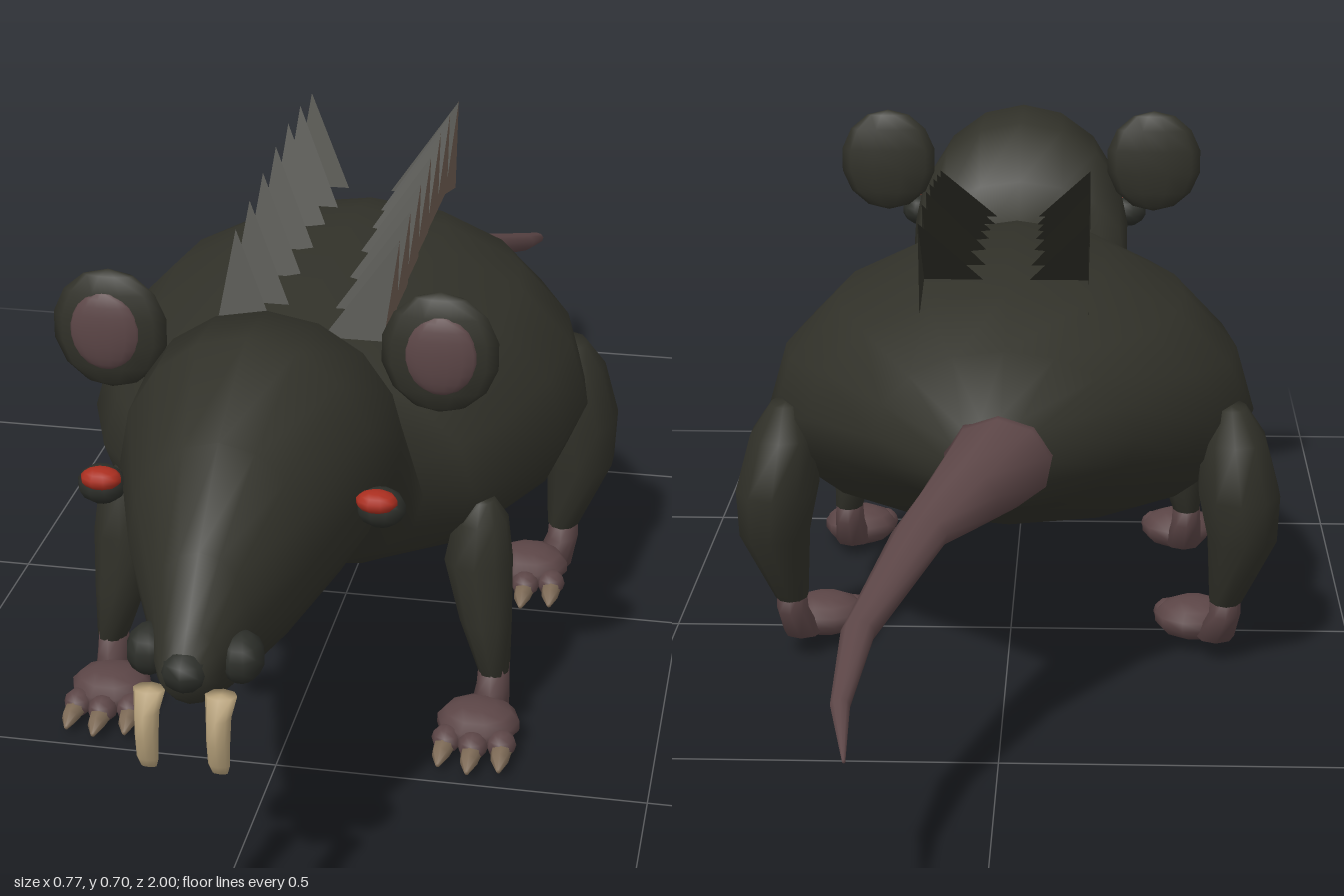
import * as THREE from 'three';

const mat = (name, color, side = THREE.FrontSide) => {
  const m = new THREE.MeshStandardMaterial({ color, side });
  m.name = name;
  return m;
};

// Skin over rings [x, y, z, rx, r2, lower r2]; upright rings run front to back, flat rings top to bottom.
function loft(rings, seg, flat = false) {
  const pos = [], idx = [], n = rings.length;
  for (const [x, y, z, rx, r2, low = r2] of rings) {
    for (let i = 0; i < seg; i++) {
      const a = (i / seg) * Math.PI * 2 + Math.PI / 2;
      const u = Math.cos(a) * rx, v = Math.sin(a) * (Math.sin(a) < 0 ? low : r2);
      if (flat) pos.push(x + u, y, z - v);
      else pos.push(x + u, y + v, z);
    }
  }
  for (let k = 0; k < n - 1; k++) {
    for (let i = 0; i < seg; i++) {
      const j = (i + 1) % seg;
      const a = k * seg + i, b = k * seg + j, c = a + seg, d = b + seg;
      idx.push(a, c, b, b, c, d);
    }
  }
  // end caps
  pos.push(...rings[0].slice(0, 3), ...rings[n - 1].slice(0, 3));
  for (let i = 0; i < seg; i++) {
    const j = (i + 1) % seg, last = (n - 1) * seg;
    idx.push(n * seg, i, j, n * seg + 1, last + j, last + i);
  }
  const g = new THREE.BufferGeometry();
  g.setAttribute('position', new THREE.Float32BufferAttribute(pos, 3));
  g.setIndex(idx);
  g.computeVertexNormals();
  return g;
}

function triangle(...corners) {
  const g = new THREE.BufferGeometry();
  g.setAttribute('position', new THREE.Float32BufferAttribute(corners.flat(), 3));
  g.computeVertexNormals();
  return g;
}

export function createModel() {
  const fur = mat('dark fur', 0x313129);
  const furThin = mat('dark spine', 0x313129, THREE.DoubleSide);
  const skin = mat('pink skin', 0x5b4546);
  const noseMat = mat('nose', 0x2c2e29);
  const red = mat('red eye', 0xaa2e1f);
  const ivory = mat('ivory teeth', 0xb5a07a);
  const claw = mat('claw', 0x7d6a56);
  const bone = mat('brown spine', 0x6d5c50);

  const model = new THREE.Group();
  const add = (name, geo, material, parent = model) => {
    const m = new THREE.Mesh(geo, material);
    m.name = name;
    parent.add(m);
    return m;
  };
  const ball = (name, p, r, material, seg = 10, parent = model) => {
    const m = add(name, new THREE.SphereGeometry(1, seg, Math.max(6, seg - 3)), material, parent);
    m.position.set(...p);
    m.scale.set(...r);
    return m;
  };

  // Head and body: z, top, bottom, half width, height of the widest line
  const profile = [
    [0.975, 0.43, 0.375, 0.028, 0.5], [0.95, 0.455, 0.355, 0.04, 0.5], [0.89, 0.52, 0.33, 0.062, 0.5],
    [0.785, 0.61, 0.325, 0.113, 0.5], [0.635, 0.68, 0.325, 0.163, 0.5], [0.52, 0.67, 0.345, 0.172, 0.5],
    [0.465, 0.585, 0.34, 0.172, 0.5], [0.425, 0.505, 0.27, 0.185, 0.48], [0.36, 0.53, 0.235, 0.24, 0.45],
    [0.29, 0.56, 0.208, 0.285, 0.42], [0.14, 0.582, 0.184, 0.338, 0.41], [0, 0.591, 0.182, 0.354, 0.4],
    [-0.1, 0.586, 0.198, 0.337, 0.4], [-0.2, 0.565, 0.25, 0.28, 0.42], [-0.3, 0.51, 0.29, 0.18, 0.45],
    [-0.4, 0.45, 0.32, 0.07, 0.5],
  ];
  add('body', loft(profile.map(([z, t, b, w, f]) => {
    const h = t - b;
    return [0, b + f * h, z, w, (1 - f) * h, f * h];
  }), 16), fur);

  // Tail curving to one side
  add('tail', loft([
    [0, 0.385, -0.38, 0.078, 0.068], [0.005, 0.385, -0.41, 0.07, 0.063],
    [0.05, 0.365, -0.5, 0.052, 0.042], [0.095, 0.348, -0.59, 0.036, 0.022],
    [0.157, 0.29, -0.78, 0.021, 0.016], [0.167, 0.25, -0.91, 0.012, 0.01],
    [0.155, 0.22, -1, 0.002, 0.002],
  ], 9), skin);

  ball('nose', [0, 0.408, 0.965], [0.03, 0.026, 0.028], noseMat, 8);

  for (const s of [1, -1]) {
    const side = s > 0 ? 'left' : 'right';

    // Ears
    ball(side + 'Ear', [s * 0.213, 0.616, 0.485], [0.076, 0.081, 0.022], fur, 10);
    ball(side + 'InnerEar', [s * 0.216, 0.617, 0.498], [0.047, 0.053, 0.015], skin, 14);

    // Eyes in dark lids
    ball(side + 'EyeLid', [s * 0.174, 0.492, 0.68], [0.031, 0.025, 0.026], noseMat);
    ball(side + 'Eye', [s * 0.171, 0.506, 0.694], [0.026, 0.014, 0.02], red);

    // Muzzle pads and curved front teeth
    ball(side + 'MuzzlePad', [s * 0.055, 0.404, 0.916], [0.027, 0.031, 0.033], noseMat);
    add(side + 'Tooth', loft([
      [s * 0.042, 0.382, 0.968, 0.019, 0.014], [s * 0.042, 0.362, 0.982, 0.015, 0.018],
      [s * 0.042, 0.33, 0.986, 0.014, 0.014], [s * 0.042, 0.3, 0.984, 0.013, 0.008],
      [s * 0.042, 0.286, 0.98, 0.009, 0.003],
    ], 8, true), ivory);

    // Legs
    add(side + 'FrontLeg', loft([
      [s * 0.247, 0.338, 0.32, 0.018, 0.022], [s * 0.247, 0.31, 0.32, 0.037, 0.041],
      [s * 0.245, 0.25, 0.323, 0.047, 0.047], [s * 0.257, 0.16, 0.325, 0.036, 0.041],
      [s * 0.27, 0.085, 0.327, 0.022, 0.033],
    ], 10, true), fur);
    add(side + 'HindLeg', loft([
      [s * 0.315, 0.387, -0.128, 0.022, 0.034], [s * 0.318, 0.345, -0.134, 0.048, 0.07],
      [s * 0.328, 0.265, -0.138, 0.06, 0.08], [s * 0.334, 0.195, -0.135, 0.051, 0.062],
      [s * 0.313, 0.095, -0.122, 0.024, 0.035],
    ], 10, true), fur);

    // Paws with three clawed toes; the ankle leans in from the leg
    for (const [name, x, y, z, lean] of [['FrontPaw', 0.258, 0, 0.327, 0.012], ['HindPaw', 0.27, 0.014, -0.122, 0.043]]) {
      const paw = new THREE.Group();
      paw.name = side + name;
      paw.position.set(s * x, y, z);
      model.add(paw);
      add('ankle', loft([
        [s * lean, 0.095, 0, 0.021, 0.032], [s * lean, 0.06, 0.004, 0.023, 0.034],
        [s * lean * 0.7, 0.018, 0.02, 0.028, 0.034],
      ], 8, true), skin, paw);
      ball('palm', [0, 0.032, 0.06], [0.058, 0.031, 0.054], skin, 10, paw);
      for (const t of [-1, 0, 1]) {
        const reach = t === 0 ? 0.012 : 0;
        ball('toe', [t * 0.037, 0.025, 0.1 + reach], [0.021, 0.019, 0.024], skin, 8, paw);
        add('claw', loft([
          [t * 0.041, 0.013, 0.152 + reach, 0.003, 0.003], [t * 0.04, 0.02, 0.135 + reach, 0.012, 0.011],
          [t * 0.038, 0.022, 0.1 + reach, 0.016, 0.015],
        ], 7), claw, paw);
      }
    }

    // Row of swept-back spines: upright blade, brown on one face, with a dark sloping front
    const tips = [0.655, 0.666, 0.677, 0.687, 0.694, 0.694, 0.687];
    tips.forEach((yt, i) => {
      const zt = 0.206 - i * 0.086, yb = Math.min(0.558 + i * 0.007, 0.582);
      const A = [s * 0.113, yb, zt + 0.122], B = [s * 0.032, yb, zt + 0.122];
      const C = [s * 0.113, i === 6 ? 0.556 : yb, zt + 0.018], T = [s * 0.113, yt, zt];
      add(side + 'SpineBlade', triangle(A, C, T), bone);
      add(side + 'SpineBack', triangle(A, T, C), fur);
      add(side + 'SpineSlope', triangle(A, T, B), furThin);
    });
  }
  return model;
}
